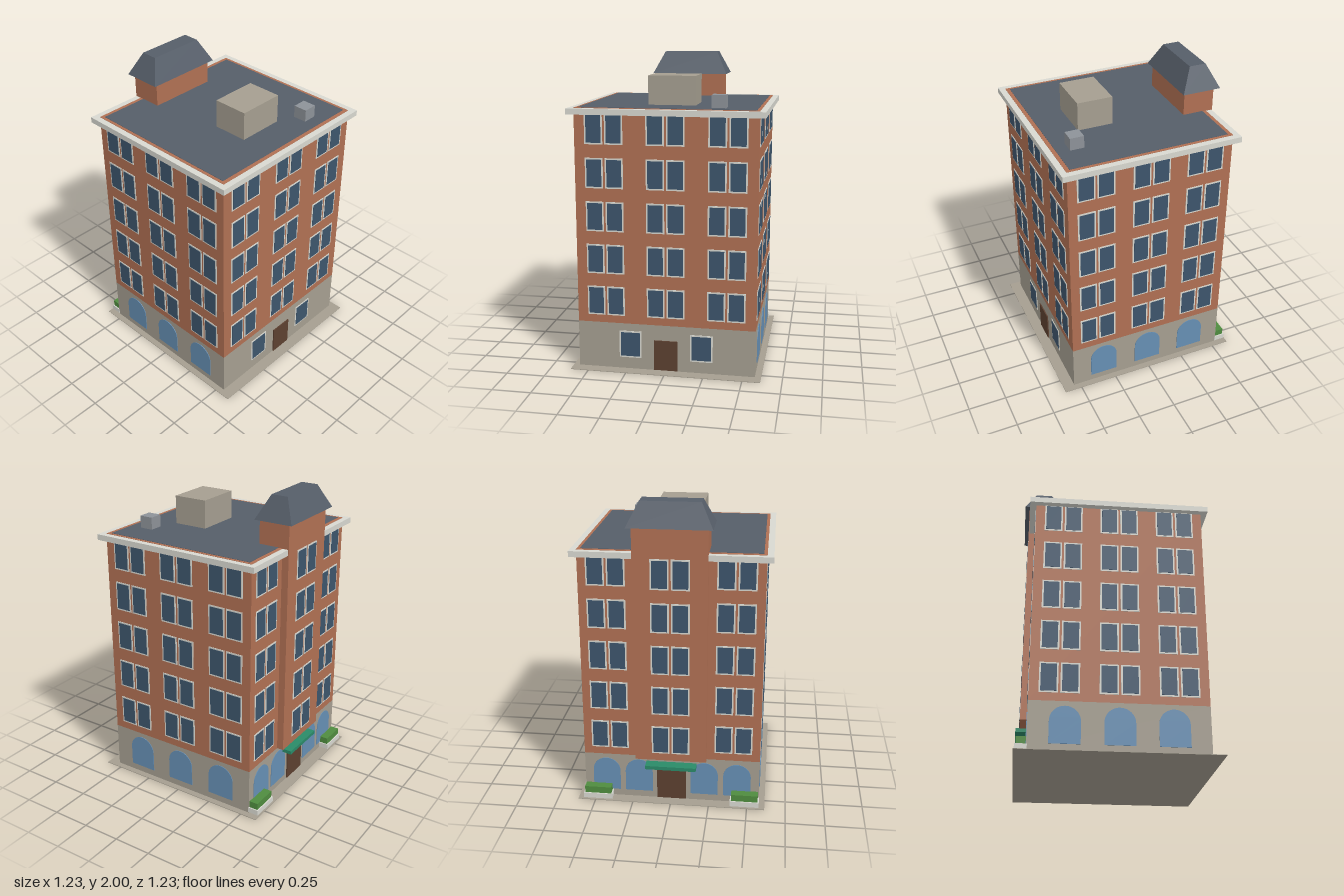
import * as THREE from 'three';

const mat = (color) => new THREE.MeshStandardMaterial({ color });

const brick = mat(0xb07053), stone = mat(0xa59e90), trim = mat(0xd8d8d0);
const slate = mat(0x565e69), glass = mat(0x3d556c), archGlass = mat(0x668fb4);
const wood = mat(0x5c4030), leaf = mat(0x4f8c3f), canvas = mat(0x2a8a68), metal = mat(0x8d9298);

const HALF_X = 0.575, HALF_Z = 0.54, BASE_TOP = 0.31, ROOF_Y = 1.692;

// Box given by its limits on each axis
function box(parent, name, material, [x0, x1], [y0, y1], [z0, z1]) {
  const mesh = new THREE.Mesh(new THREE.BoxGeometry(x1 - x0, y1 - y0, z1 - z0), material);
  mesh.position.set((x0 + x1) / 2, (y0 + y1) / 2, (z0 + z1) / 2);
  mesh.name = name;
  parent.add(mesh);
  return mesh;
}

// A wall group: its local z = 0 plane is the wall surface, facing local +z
function wall(parent, name, x, z, angle) {
  const group = new THREE.Group();
  group.name = name;
  group.position.set(x, 0, z);
  group.rotation.y = angle;
  parent.add(group);
  return group;
}

// Framed window on a wall
function addWindow(parent, x, y, w, h) {
  const group = new THREE.Group();
  group.name = 'window';
  group.position.set(x, y, 0);
  const b = 0.01;
  box(group, 'windowFrame', trim, [-w / 2, w / 2], [-h / 2, h / 2], [-0.003, 0.003]);
  box(group, 'windowPane', glass, [-w / 2 + b, w / 2 - b], [-h / 2 + b, h / 2 - b], [-0.003, 0.005]);
  parent.add(group);
}

// Five storeys of paired windows
function addWindowPairs(parent, centers) {
  for (let row = 0; row < 5; row++) {
    for (const c of centers) {
      for (const side of [-1, 1]) addWindow(parent, c + side * 0.064, 0.457 + row * 0.277, 0.115, 0.192);
    }
  }
}

// Round-topped ground floor glazing
function addArches(parent, centers, r) {
  const shape = new THREE.Shape();
  shape.moveTo(-r, 0.05);
  shape.lineTo(r, 0.05);
  shape.lineTo(r, 0.28 - r);
  shape.absarc(0, 0.28 - r, r, 0, Math.PI, false);
  shape.closePath();
  const geometry = new THREE.ExtrudeGeometry(shape, { depth: 0.004, bevelEnabled: false, curveSegments: 12 });
  for (const c of centers) {
    const arch = new THREE.Mesh(geometry, archGlass);
    arch.name = 'archedWindow';
    arch.position.x = c;
    parent.add(arch);
  }
}

// Box tapered towards its top face
function hippedRoof(width, height, depth, topWidth, topDepth) {
  const geometry = new THREE.BoxGeometry(width, height, depth).toNonIndexed();
  const p = geometry.attributes.position;
  for (let i = 0; i < p.count; i++) {
    if (p.getY(i) > 0) {
      p.setX(i, Math.sign(p.getX(i)) * topWidth / 2);
      p.setZ(i, Math.sign(p.getZ(i)) * topDepth / 2);
    }
  }
  geometry.computeVertexNormals();
  return geometry;
}

export function createModel() {
  const model = new THREE.Group();
  model.name = 'apartmentBuilding';

  // Main masses
  box(model, 'pavement', stone, [-0.615, 0.615], [0, 0.004], [-0.615, 0.615]);
  box(model, 'stoneBase', stone, [-HALF_X, HALF_X], [0.004, BASE_TOP], [-HALF_Z, HALF_Z]);
  box(model, 'brickBody', brick, [-HALF_X, HALF_X], [BASE_TOP, ROOF_Y + 0.002], [-HALF_Z, HALF_Z]);
  box(model, 'cornice', trim, [-0.615, 0.615], [1.655, ROOF_Y], [-0.58, 0.58]);
  box(model, 'flatRoof', slate, [-0.555, 0.555], [1.66, ROOF_Y + 0.004], [-0.515, 0.515]);

  // Rooftop structures
  box(model, 'roofHut', stone, [-0.153, 0.153], [ROOF_Y, 1.88], [0.075, 0.305]);
  box(model, 'ventUnit', metal, [0.27, 0.36], [ROOF_Y, 1.775], [0.345, 0.435]);

  // Rear stair tower with hipped roof
  box(model, 'rearTower', brick, [-0.23, 0.23], [BASE_TOP, 1.85], [-0.585, -0.38]);
  const roof = new THREE.Mesh(hippedRoof(0.52, 0.15, 0.256, 0.37, 0.11), slate);
  roof.name = 'towerRoof';
  roof.position.set(0, 1.925, -0.487);
  model.add(roof);

  // Front wall
  const front = wall(model, 'frontWall', 0, HALF_Z, 0);
  addWindowPairs(front, [-0.388, 0, 0.388]);
  for (const side of [-1, 1]) addWindow(front, side * 0.232, 0.17, 0.145, 0.18);
  box(front, 'frontDoor', wood, [-0.077, 0.077], [0.008, 0.208], [-0.004, 0.008]);

  // Side walls
  for (const side of [-1, 1]) {
    const sideWall = wall(model, side > 0 ? 'leftWall' : 'rightWall', side * HALF_X, 0, side * Math.PI / 2);
    addWindowPairs(sideWall, [-0.36, 0, 0.36]);
    addArches(sideWall, [-0.322, 0, 0.322], 0.093);
  }

  // Rear wall and tower windows
  const rear = wall(model, 'rearWall', 0, -HALF_Z, Math.PI);
  addWindowPairs(rear, [-0.402, 0.402]);
  addArches(rear, [-0.43, -0.215, 0.215, 0.43], 0.09);
  box(rear, 'rearDoor', wood, [-0.095, 0.095], [0.008, 0.235], [-0.004, 0.008]);
  box(rear, 'awning', canvas, [-0.165, 0.165], [0.25, 0.274], [-0.004, 0.07]);
  addWindowPairs(wall(model, 'towerWall', 0, -0.585, Math.PI), [0]);

  // Planters beside the rear corners
  for (const side of [-1, 1]) {
    const c = side * 0.483;
    box(model, 'planter', trim, [c - 0.095, c + 0.095], [0.01, 0.045], [-0.608, -0.535]);
    box(model, 'hedge', leaf, [c - 0.087, c + 0.087], [0.045, 0.09], [-0.6, -0.542]);
  }

  return model;
}
